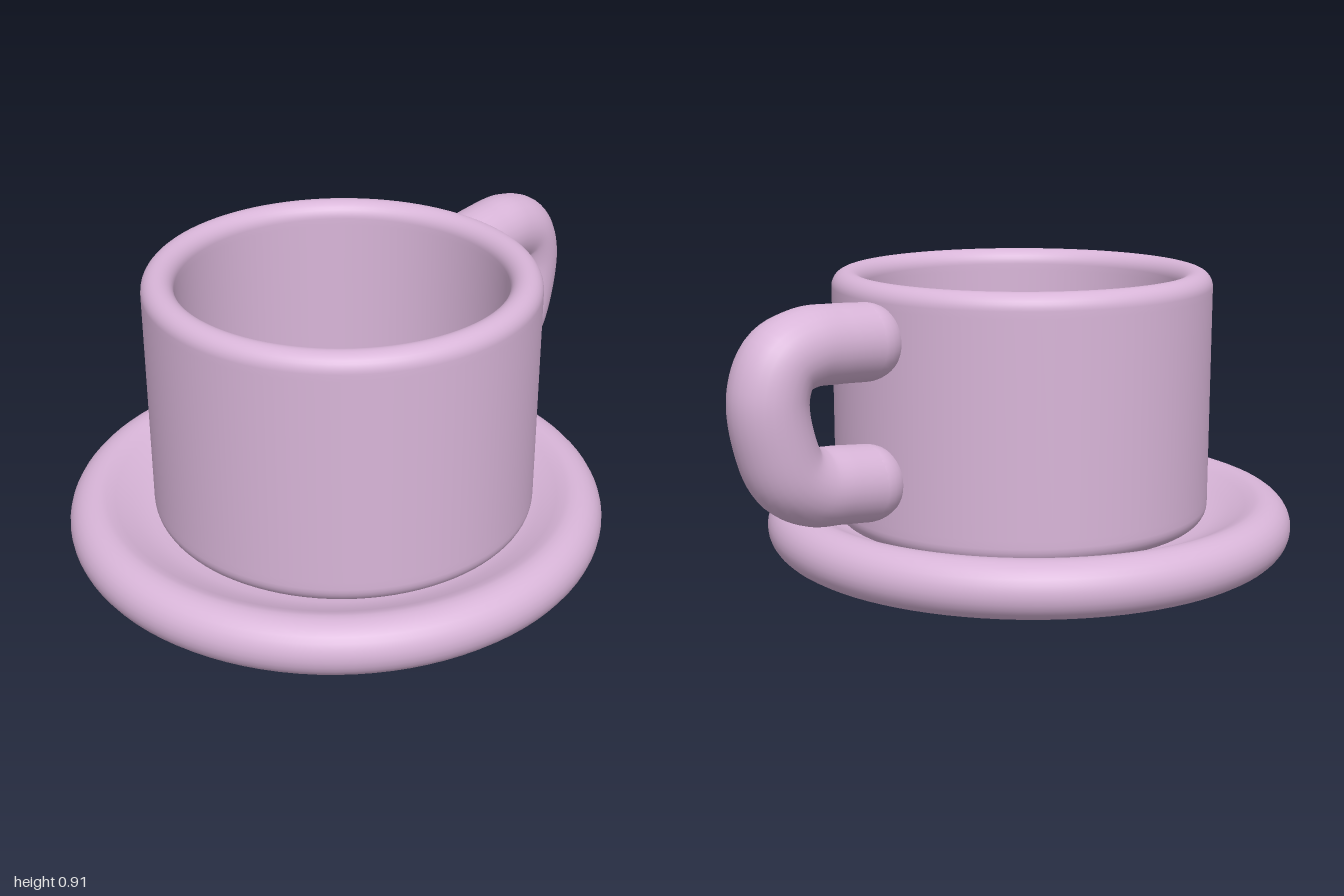
import * as THREE from 'three';

// Points along a circular arc, angles in degrees
function arc(cx, cy, r, from, to, steps = 8) {
  return Array.from({ length: steps + 1 }, (_, i) => {
    const a = THREE.MathUtils.degToRad(from + ((to - from) * i) / steps);
    return new THREE.Vector2(cx + r * Math.cos(a), cy + r * Math.sin(a));
  });
}

const p = (x, y) => new THREE.Vector2(x, y);

export function createModel() {
  const group = new THREE.Group();
  const lilac = new THREE.MeshStandardMaterial({ color: 0xd8b5d8 });
  lilac.name = 'lilac glaze';

  const add = (name, geometry, x, y, z) => {
    const mesh = new THREE.Mesh(geometry, lilac);
    mesh.name = name;
    mesh.position.set(x, y, z);
    group.add(mesh);
  };

  // Saucer: flat underside, fat rounded rim, shallow dish
  const saucer = [
    p(0, 0), p(0.75, 0),
    ...arc(0.769, 0.088, 0.088, -90, 110, 16),
    p(0.71, 0.157), p(0.66, 0.13), p(0.6, 0.108), p(0.52, 0.098), p(0, 0.095),
  ];
  add('saucer', new THREE.LatheGeometry(saucer, 96), 0, 0, 0.142);

  // Cup: rounded foot and lip, open hollow inside
  const cup = [
    p(0, 0.095), p(0.53, 0.095),
    ...arc(0.55, 0.155, 0.06, -90, 0),
    p(0.61, 0.18), p(0.61, 0.84),
    ...arc(0.56, 0.862, 0.05, 0, 180, 16),
    p(0.51, 0.84), p(0.51, 0.25),
    ...arc(0.48, 0.23, 0.03, 0, -90, 5),
    p(0.46, 0.2), p(0, 0.2),
  ];
  add('cup', new THREE.LatheGeometry(cup, 96), 0.015, 0, 0.123);

  // Handle: round tube with ball ends sunk into the cup wall
  const radius = 0.118;
  const path = [
    [-0.54, 0.75], [-0.65, 0.757], [-0.75, 0.757], [-0.84, 0.722], [-0.88, 0.63],
    [-0.865, 0.5], [-0.82, 0.395], [-0.74, 0.345], [-0.64, 0.332], [-0.54, 0.32],
  ].map(([z, y]) => new THREE.Vector3(0, y, z));
  const curve = new THREE.CatmullRomCurve3(path);
  add('handle', new THREE.TubeGeometry(curve, 64, radius, 28), -0.015, 0, 0);
  for (const [name, end] of [['handleTopEnd', path[0]], ['handleLowerEnd', path.at(-1)]]) {
    add(name, new THREE.SphereGeometry(radius, 28, 20), -0.015, end.y, end.z);
  }

  return group;
}
